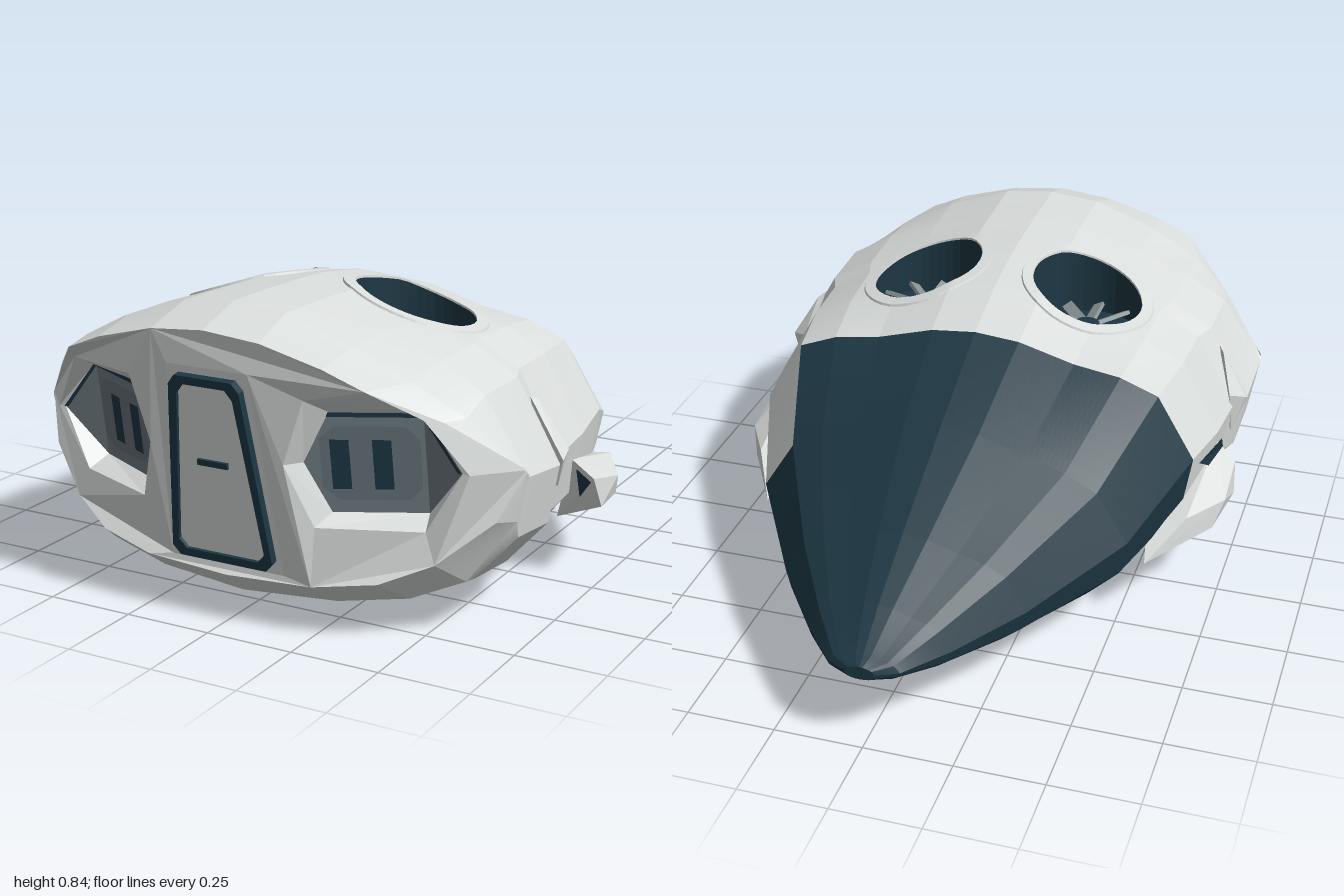
import * as THREE from 'three';
import { ConvexGeometry } from 'three/addons/geometries/ConvexGeometry.js';

const V = (x, y, z) => new THREE.Vector3(x, y, z);
const mat = (name, color) => new THREE.MeshStandardMaterial({ name, color, side: THREE.DoubleSide });

// Half cross-section as fractions of width and height, top centre to bottom centre; s is the shoulder height
const profile = (s) => [[0, 1], [.2, .96], [.45, .81], [.66, .34 + s * .667], [.83, s], [1, 0],
  [.96, -.4], [.8, -.72], [.62, -.86], [.36, -.95], [0, -1]];
// Stations: z, half width, top, widest height, bottom, shoulder
const STATIONS = [[-1, .04, .265, .245, .225, .54], [-.97, .1, .28, .245, .215, .54], [-.85, .2, .355, .25, .175, .54],
  [-.65, .345, .455, .27, .13, .54], [-.32, .54, .605, .32, .06, .51], [0, .655, .742, .43, .02, .6],
  [.2, .69, .8, .42, .005, .55], [.38, .7, .828, .41, .003, .53], [.45, .732, .834, .41, .005, .52],
  [.65, .738, .842, .44, .025, .48]];
// Rounded nose ring and the brow and lip edge around the face
const NOSE = [[0, .845, .84], [.15, .83, .84], [.34, .765, .83], [.49, .69, .81], [.61, .6, .75], [.738, .45, .66],
  [.71, .32, .66], [.59, .15, .7], [.46, .1, .76], [.27, .07, .8], [0, .06, .83]];
const BROW = [[0, .8, .985], [.16, .785, .98], [.33, .74, .97], [.44, .695, .955], [.58, .6, .81], [.735, .46, .66],
  [.68, .33, .72], [.55, .22, .8], [.42, .165, .86], [.25, .14, .9], [0, .13, .91]];

const RINGS = [
  ...STATIONS.map(([z, w, top, mid, bot, s]) => profile(s).map(([a, b]) =>
    V(a * w, mid + b * (b > 0 ? top - mid : mid - bot), z))),
  ...[NOSE, BROW].map((ring) => ring.map((p) => V(...p))),
];
const ringPoint = (ring, k) => {
  const j = k % 20;
  return j <= 10 ? ring[j].clone() : V(-ring[20 - j].x, ring[20 - j].y, ring[20 - j].z);
};

const DUCT = { x: .25, z: .33, r: .165 };

// Height of the upper or lower hull skin at (x, z)
function skinY(x, z, upper) {
  let i = 0;
  while (i < STATIONS.length - 2 && STATIONS[i + 1][0] < z) i++;
  const t = (z - STATIONS[i][0]) / (STATIONS[i + 1][0] - STATIONS[i][0]);
  const at = (j) => RINGS[i][j].clone().lerp(RINGS[i + 1][j], t);
  for (let n = 0; n < 5; n++) {
    const a = at(upper ? n : 10 - n), b = at(upper ? n + 1 : 9 - n);
    if (Math.abs(x) <= b.x) return a.y + (b.y - a.y) * (Math.abs(x) - a.x) / (b.x - a.x);
  }
  return at(5).y;
}

// Faceted geometry from a list of triangle corners
function facets(points) {
  const g = new THREE.BufferGeometry().setFromPoints(points);
  g.computeVertexNormals();
  return g;
}
const quad = (out, a, b, c, d) => out.push(a, b, c, a, c, d);

// Closed strips joining successive loops
function loft(loops) {
  const out = [];
  for (let i = 0; i + 1 < loops.length; i++) {
    const a = loops[i], b = loops[i + 1], n = a.length;
    for (let k = 0; k < n; k++) quad(out, a[k], a[(k + 1) % n], b[(k + 1) % n], b[k]);
  }
  return facets(out);
}

// Triangulated sheet from an outline and holes of 3D points, laid out in x and y
function sheet(outline, holes = []) {
  const flat = (l) => l.map((p) => new THREE.Vector2(p.x, p.y));
  const all = [...outline, ...holes.flat()];
  return facets(THREE.ShapeUtils.triangulateShape(flat(outline), holes.map(flat)).flat().map((i) => all[i]));
}

// Hull skin, finely divided so the duct openings can be cut cleanly
function hullSkin() {
  const light = [], dark = [], N = 8;
  const inside = (p) => p.z < .6 && Math.hypot(Math.abs(p.x) - DUCT.x, p.z - DUCT.z) < DUCT.r;
  const push = (p) => {
    if (!inside(p)) return p;
    const s = Math.sign(p.x), dx = p.x - s * DUCT.x, dz = p.z - DUCT.z, f = DUCT.r / Math.hypot(dx, dz);
    const x = s * DUCT.x + dx * f, z = DUCT.z + dz * f;
    return V(x, skinY(x, z, p.y > .4), z);
  };
  for (let i = 0; i + 1 < RINGS.length; i++) for (let k = 0; k < 20; k++) {
    const [a, b, c, d] = [[i, k], [i, k + 1], [i + 1, k], [i + 1, k + 1]].map(([r, q]) => ringPoint(RINGS[r], q));
    const P = (u, v) => a.clone().lerp(b, u / N).lerp(c.clone().lerp(d, u / N), v / N);
    // The pale band reaches further back on the left side only
    const sideBand = i === 4 && k >= 4 && k < 7;
    const out = i < 5 && !sideBand ? dark : light;
    for (let u = 0; u < N; u++) for (let v = 0; v < N; v++) {
      const cell = [P(u, v), P(u + 1, v), P(u + 1, v + 1), P(u, v + 1)];
      if (!cell.every(inside)) quad(out, ...cell.map(push));
    }
  }
  // Tail tip cap
  for (let k = 0; k < 20; k++) dark.push(V(0, .245, -1), ringPoint(RINGS[0], k + 1), ringPoint(RINGS[0], k));
  return [facets(light), facets(dark)];
}

export function createModel() {
  const model = new THREE.Group();
  const hullMat = mat('pale hull', 0xdadedc), tealMat = mat('dark teal', 0x1d3743);
  const panelMat = mat('window grey', 0x727e85), insetMat = mat('inset grey', 0x68747b);
  const fanMat = mat('fan grey', 0x8d9798);
  const add = (parent, name, geo, material) => {
    const m = new THREE.Mesh(geo, material);
    m.name = name;
    parent.add(m);
    return m;
  };

  const [light, dark] = hullSkin();
  add(model, 'hull', light, hullMat);
  add(model, 'tailCone', dark, tealMat);

  // Face with openings for the windows and a flat door surround
  const slope = (y) => .9 + .14 * (y - .17);
  const faceZ = (x, y) => slope(y) - .4 * Math.max(0, Math.abs(x) - .2);
  const onFace = (pts) => pts.map(([x, y]) => V(x, y, faceZ(x, y)));
  const flip = (pts) => pts.map(([x, y]) => [-x, y]);
  const hexOuter = [[.2, .47], [.26, .3], [.52, .3], [.63, .46], [.515, .63], [.26, .645]];
  const hexInner = [[.225, .465], [.28, .328], [.5, .328], [.61, .462], [.5, .602], [.29, .602]];
  const surround = [[-.17, .155], [.17, .155], [.12, .7], [-.12, .7]];
  const brow = Array.from({ length: 20 }, (_, k) => ringPoint(RINGS[RINGS.length - 1], 20 - k));
  add(model, 'face', sheet(brow, [onFace(hexOuter), onFace(flip(hexOuter)), onFace(surround)]), hullMat);
  add(model, 'doorSurround', sheet(onFace(surround)), hullMat);

  // Sunken window pane, angled outward and folding forward again beyond x = 0.5
  const onPane = (pts, off = 0) => pts.map(([x, y]) =>
    V(x, y, slope(y) - .045 - .5 * (Math.min(x, .5) - .2) + .2 * Math.max(0, x - .5) + off));

  // Door: chamfered tapered frame, leaf and handle
  const door = new THREE.Group();
  door.name = 'door';
  door.position.set(0, .17, .9);
  door.rotation.x = Math.atan(.14);
  model.add(door);
  const outline = (m) => [[-.13 + m, m], [.13 - m, m], [.152 - m, .025 + m], [.105 - m, .49 - m],
    [.085 - m, .515 - m], [-.085 + m, .515 - m], [-.105 + m, .49 - m], [-.152 + m, .025 + m]]
    .map((p) => new THREE.Vector2(...p));
  const frame = new THREE.Shape(outline(0));
  frame.holes.push(new THREE.Path(outline(.022)));
  add(door, 'doorFrame', new THREE.ExtrudeGeometry(frame, { depth: .022, bevelEnabled: false }), tealMat);
  add(door, 'doorLeaf', new THREE.ExtrudeGeometry(new THREE.Shape(outline(.022)), { depth: .012, bevelEnabled: false }), hullMat);
  add(door, 'doorHandle', new THREE.BoxGeometry(.09, .016, .016), tealMat).position.set(0, .28, .012);

  // Dark gap above the right scoop
  const gap = [];
  quad(gap, V(-.67, .41, .02), V(-.703, .4, .2), V(-.7, .345, .25), V(-.685, .36, .1));
  add(model, 'rightScoopGap', facets(gap), tealMat);

  // Paired parts, modelled on the left and mirrored
  for (const side of [1, -1]) {
    const half = new THREE.Group();
    half.name = side > 0 ? 'leftParts' : 'rightParts';
    half.scale.x = side;
    model.add(half);

    // Recessed window with inset plate, two slots and a dark upper edge
    add(half, 'windowRecess', loft([onFace(hexOuter), onPane(hexInner)]), hullMat);
    add(half, 'windowPane', sheet(onPane(hexInner.filter((_, n) => n !== 3))), panelMat);
    add(half, 'windowCorner', sheet(onPane(hexInner.slice(2, 5))), panelMat);
    const inset = [[.265, .4], [.3, .365], [.46, .365], [.49, .4], [.49, .53], [.46, .565], [.3, .565], [.265, .53]];
    add(half, 'windowInset', sheet(onPane(inset, .004)), insetMat);
    for (const x of [.29, .385]) {
      add(half, 'windowSlot', sheet(onPane([[x, .395], [x + .043, .395], [x + .043, .53], [x, .53]], .009)), tealMat);
    }
    add(half, 'windowTopTrim', sheet(onPane([[.285, .59], [.5, .59], [.5, .602], [.29, .602]], .005)), tealMat);
    add(half, 'windowSideTrim', sheet(onPane([[.5, .588], [.598, .462], [.61, .462], [.5, .602]], .005)), tealMat);

    // Vertical duct through the hull with a low rim at each mouth
    const circle = (r, yAt) => Array.from({ length: 40 }, (_, k) => {
      const a = k / 40 * Math.PI * 2, x = DUCT.x + r * Math.cos(a), z = DUCT.z + r * Math.sin(a);
      return V(x, yAt(x, z), z);
    });
    const skin = (upper, off) => (x, z) => skinY(x, z, upper) + (upper ? off : -off);
    add(half, 'ductWall', loft([circle(DUCT.r - .002, skin(true, 0)), circle(DUCT.r - .002, skin(false, 0))]), tealMat);
    for (const upper of [true, false]) {
      add(half, 'ductRim', loft([[.163, -.004], [.164, .006], [.196, .006], [.2, -.004]]
        .map(([r, off]) => circle(r, skin(upper, off)))), hullMat);
    }
    add(half, 'lowerDuctPlate', new THREE.CylinderGeometry(.163, .163, .01, 32), tealMat).position.set(DUCT.x, .07, DUCT.z);

    // Fan set below the upper mouth of the duct
    const fan = new THREE.Group();
    fan.name = 'fan';
    fan.position.set(DUCT.x, .61, DUCT.z);
    half.add(fan);
    add(fan, 'fanBackplate', new THREE.CylinderGeometry(.163, .163, .01, 32), tealMat);
    add(fan, 'fanHub', new THREE.CylinderGeometry(.036, .036, .09, 16), tealMat);
    for (let k = 0; k < 10; k++) {
      const spoke = new THREE.Group();
      spoke.rotation.y = (k + .5) / 10 * Math.PI * 2;
      fan.add(spoke);
      const blade = add(spoke, 'fanBlade', new THREE.BoxGeometry(.12, .012, .034), fanMat);
      blade.position.set(.098, .03, 0);
      blade.rotation.x = .5;
    }

    // Dark triangular vent beside the lower duct mouth
    add(half, 'bellyVent', facets([[.47, .37], [.53, .31], [.5, .13]]
      .map(([x, z]) => V(x, skinY(x, z, false) - .006, z))), tealMat);

    // Side scoop with dark mouth, and a small gill ridge ahead of it
    add(half, 'sideScoop', new ConvexGeometry([V(.68, .36, .25), V(.742, .31, .24), V(.75, .22, .2), V(.62, .17, .2),
      V(.745, .27, .07), V(.72, .2, .02), V(.66, .28, -.08), V(.575, .21, -.24), V(.55, .26, -.1)]), hullMat);
    add(half, 'scoopMouth', facets([V(.695, .335, .252), V(.735, .3, .243), V(.7, .25, .235)]), tealMat);
    add(half, 'sideRidge', new ConvexGeometry([V(.64, .58, .44), V(.655, .57, .42), V(.737, .42, .44), V(.735, .44, .4),
      V(.69, .45, .375), V(.7, .33, .385), V(.68, .33, .42)]), hullMat);
  }
  return model;
}
